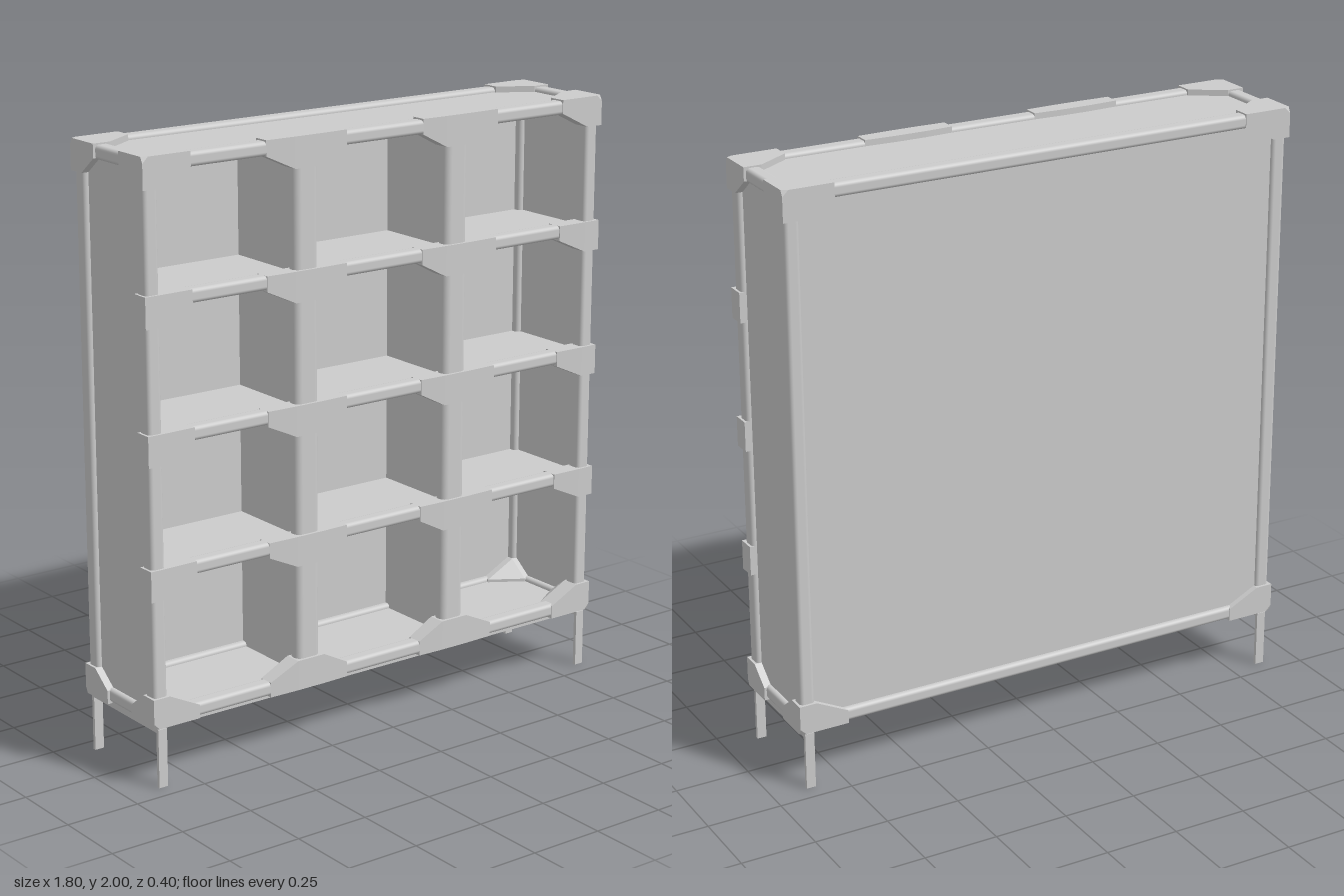
import * as THREE from 'three';
import { RoundedBoxGeometry } from 'three/addons/geometries/RoundedBoxGeometry.js';
import { ConvexGeometry } from 'three/addons/geometries/ConvexGeometry.js';

export function createModel() {
  const root = new THREE.Group();
  root.name = 'shelvingUnit';
  const mat = new THREE.MeshStandardMaterial({ color: 0xcccccc });
  const flat = new THREE.MeshStandardMaterial({ color: 0xcccccc, flatShading: true });

  function add(name, geo, m = mat) {
    const mesh = new THREE.Mesh(geo, m);
    mesh.name = name;
    root.add(mesh);
    return mesh;
  }
  // Boxes are given by their [min, max] ranges on each axis
  const mid = (r) => (r[0] + r[1]) / 2;
  const len = (r) => Math.abs(r[1] - r[0]);
  function box(name, x, y, z) {
    add(name, new THREE.BoxGeometry(len(x), len(y), len(z))).position.set(mid(x), mid(y), mid(z));
  }
  function tube(name, x, y, z, radius = 0.013) {
    add(name, new RoundedBoxGeometry(len(x), len(y), len(z), 3, radius)).position.set(mid(x), mid(y), mid(z));
  }
  // Joint moulded around several box-shaped arms
  function joint(name, arms) {
    const pts = [];
    for (const [xs, ys, zs] of arms)
      for (const x of xs) for (const y of ys) for (const z of zs) pts.push(new THREE.Vector3(x, y, z));
    add(name, new ConvexGeometry(pts), flat);
  }

  const shelfTops = [0.72, 1.15, 1.58];

  // Outer panels, slightly recessed in the frame
  box('backPanel', [-0.86, 0.86], [0.22, 1.98], [-0.18, -0.165]);
  box('topPanel', [-0.86, 0.86], [1.965, 1.98], [-0.17, 0.165]);
  box('bottomPanel', [-0.86, 0.86], [0.22, 0.235], [-0.17, 0.165]);

  for (const s of [-1, 1]) {
    box('sidePanel', [s * 0.86, s * 0.875], [0.22, 1.98], [-0.17, 0.165]);
    box('dividerPanel', [s * 0.29, s * 0.31], [0.23, 1.97], [-0.17, 0.16]);
    tube('dividerPost', [s * 0.252, s * 0.342], [0.24, 1.96], [0.14, 0.19], 0.022);

    // Corner posts and depth rails
    for (const f of [-1, 1]) tube('cornerPost', [s * 0.842, s * 0.892], [0.22, 1.98], [f * 0.14, f * 0.191]);
    for (const y of [[0.205, 0.25], [1.95, 1.995]]) tube('depthRail', [s * 0.842, s * 0.892], y, [-0.18, 0.18]);
  }

  // Long rails at top and bottom, front and back
  for (const f of [-1, 1])
    for (const y of [[0.205, 0.25], [1.95, 1.995]]) tube('longRail', [-0.87, 0.87], y, [f * 0.145, f * 0.197]);

  // Shelves with their front rails
  for (const top of shelfTops) {
    box('shelf', [-0.86, 0.86], [top - 0.035, top - 0.018], [-0.17, 0.16]);
    tube('shelfRail', [-0.87, 0.87], [top - 0.045, top], [0.145, 0.195]);
  }

  // Three-way corner joints
  for (const s of [-1, 1]) for (const f of [-1, 1]) for (const [y, d] of [[0.2, 1], [2, -1]]) {
    const X = [s * 0.84, s * 0.9], Y = [y, y + d * 0.045], Z = [f * 0.14, f * 0.2];
    joint('cornerJoint', [
      [[s * 0.73, s * 0.88], Y, Z],
      [X, [y + d * 0.02, y + d * 0.1], Z],
      [X, Y, [f * 0.07, f * 0.19]],
    ]);
  }

  // Front joints at the divider posts and at the outer ends of the shelves
  for (const s of [-1, 1]) {
    for (const [y, d] of [[0.2, 1], [2, -1], ...shelfTops.map((t) => [t, -1])]) {
      joint('dividerJoint', [
        [[s * 0.15, s * 0.455], [y, y + d * 0.05], [0.145, 0.197]],
        [[s * 0.245, s * 0.348], [y, y + d * 0.1], [0.14, 0.2]],
      ]);
    }
    for (const t of shelfTops) {
      joint('shelfEndJoint', [
        [[s * 0.73, s * 0.9], [t, t - 0.05], [0.142, 0.198]],
        [[s * 0.84, s * 0.9], [t, t - 0.1], [0.14, 0.2]],
      ]);
    }
  }

  // Thin flat-bar leg frames and the strip joining them
  for (const s of [-1, 1]) {
    const x = [s * 0.85, s * 0.882];
    for (const f of [-1, 1]) box('leg', x, [0, 0.195], [f * 0.182, f * 0.194]);
    box('legCrossbar', x, [0.183, 0.205], [-0.19, 0.19]);
  }
  box('baseStrip', [-0.86, 0.86], [0.187, 0.21], [0.09, 0.17]);

  return root;
}
